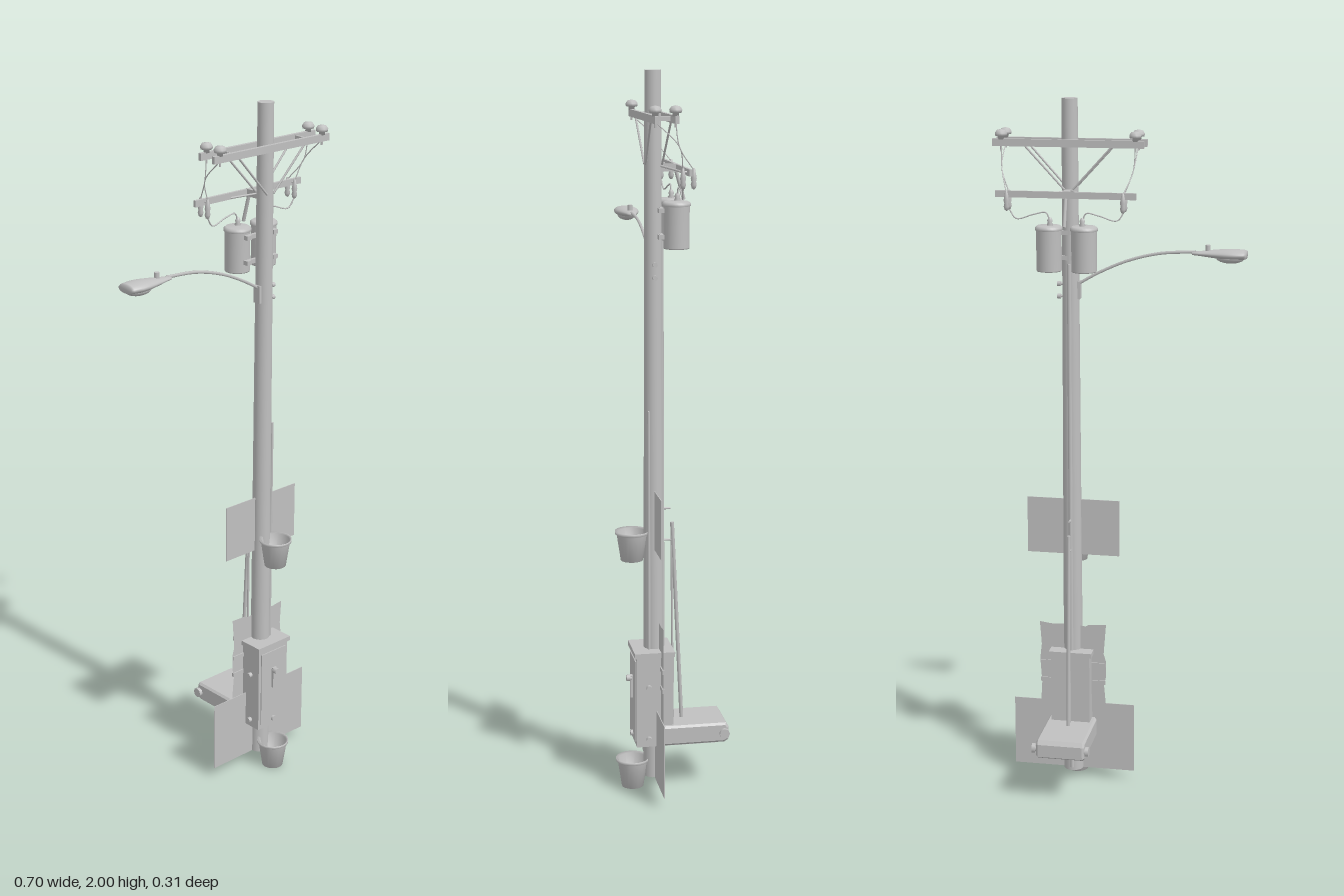
import * as THREE from 'three';

const grey = new THREE.MeshStandardMaterial({ color: 0xc0c0c0, side: THREE.DoubleSide });
grey.name = 'plain grey';

const PX = 0.14, PZ = 0.048; // pole axis
const V = (x, y, z) => new THREE.Vector3(x, y, z);

export function createModel() {
  const root = new THREE.Group();
  const add = (name, geo, x = 0, y = 0, z = 0) => {
    const m = new THREE.Mesh(geo, grey);
    m.name = name;
    m.position.set(x, y, z);
    root.add(m);
    return m;
  };
  // box given by its limits
  const box = (name, x0, x1, y0, y1, z0, z1) =>
    add(name, new THREE.BoxGeometry(x1 - x0, y1 - y0, z1 - z0), (x0 + x1) / 2, (y0 + y1) / 2, (z0 + z1) / 2);
  // straight round or square rod between two points
  const rod = (name, a, b, r, sides = 10) => {
    const m = add(name, new THREE.CylinderGeometry(r, r, a.distanceTo(b), sides));
    m.position.copy(a).add(b).multiplyScalar(0.5);
    m.quaternion.setFromUnitVectors(V(0, 1, 0), b.clone().sub(a).normalize());
    return m;
  };
  const tube = (name, pts, r, n = 24) =>
    add(name, new THREE.TubeGeometry(new THREE.CatmullRomCurve3(pts), n, r, 6));
  const lathe = (name, pts, x, y, z, n = 24) =>
    add(name, new THREE.LatheGeometry(pts.map(p => new THREE.Vector2(p[0], p[1])), n), x, y, z);

  // Pole and conduits
  add('pole', new THREE.CylinderGeometry(0.022, 0.029, 1.97, 24), PX, 1.015, PZ);
  rod('rearConduit', V(PX, 0.04, 0.021), V(PX, 1.55, 0.025), 0.006);
  rod('sideConduit', V(0.163, 0.3, 0.064), V(0.163, 1.09, 0.064), 0.004);

  // Double top crossarm with ties, braces and insulators
  for (const z of [0.021, 0.074]) {
    box('topCrossarm', -0.07, 0.35, 1.87, 1.89, z - 0.005, z + 0.005);
    for (const s of [-1, 1]) {
      rod('crossarmBrace', V(PX + s * 0.12, 1.872, z), V(PX + s * 0.012, 1.755, z > PZ ? 0.069 : 0.025), 0.003, 6);
      lathe('topInsulator', [[0, 0], [0.008, 0], [0.008, 0.008], [0.016, 0.01], [0.017, 0.017], [0.012, 0.025], [0, 0.028]],
        PX + s * 0.186, 1.888, z, 16);
      rod('crossarmBolt', V(PX + s * 0.186, 1.86, z), V(PX + s * 0.186, 1.89, z), 0.003, 6);
    }
  }
  for (const s of [-1, 1]) {
    box('crossarmTie', PX + s * 0.135 - 0.003, PX + s * 0.135 + 0.003, 1.874, 1.886, 0.021, 0.074);
  }

  // Lower crossarm behind the pole
  box('lowerCrossarm', -0.055, 0.335, 1.736, 1.754, -0.021, -0.013);
  box('lowerCrossarmBracket', 0.131, 0.149, 1.735, 1.755, -0.018, 0.03);
  for (const s of [-1, 1]) {
    rod('lowerBrace', V(PX + s * 0.07, 1.74, -0.013), V(PX + s * 0.01, 1.75, 0.028), 0.003, 6);
    const hx = PX + s * 0.161;
    for (const z of [-0.031, -0.003]) {
      lathe('hangingInsulator', [[0, 0], [0.005, 0.003], [0.008, 0.012], [0.006, 0.02], [0.008, 0.028], [0.006, 0.04], [0.003, 0.055], [0, 0.055]],
        hx, 1.7, z, 12);
      tube('dropWire', [V(PX + s * 0.186, 1.875, z < -0.02 ? 0.021 : 0.074), V(PX + s * 0.182, 1.81, 0.01), V(hx, 1.75, z)], 0.0015);
    }
    tube('transformerWire', [V(hx, 1.703, -0.003), V(PX + s * 0.14, 1.677, -0.006), V(PX + s * 0.09, 1.69, -0.01),
      V(PX + s * 0.055, 1.695, -0.01), V(PX + s * 0.045, 1.665, -0.01)], 0.002, 32);
    rod('insulatorPin', V(hx, 1.745, -0.034), V(hx, 1.745, 0), 0.003, 6);

    // Transformer cans
    const tx = PX + s * 0.049;
    lathe('transformer', [[0, 0], [0.034, 0], [0.035, 0.003], [0.035, 0.112], [0.038, 0.113], [0.038, 0.12], [0.032, 0.125], [0, 0.127]],
      tx, 1.535, -0.007, 28);
    lathe('transformerBushing', [[0.007, 0], [0.009, 0.006], [0.006, 0.01], [0.008, 0.016], [0.004, 0.024], [0, 0.026]],
      PX + s * 0.045, 1.658, -0.01, 12);
    for (const y of [1.56, 1.63]) box('transformerMount', tx - 0.008, tx + 0.008, y, y + 0.012, 0.02, 0.042);
  }
  box('transformerHanger', 0.09, 0.19, 1.56, 1.572, 0.025, 0.035);
  box('transformerHanger', 0.09, 0.19, 1.63, 1.642, 0.025, 0.035);
  rod('cutoutFuse', V(PX, 1.66, -0.036), V(PX, 1.735, -0.015), 0.005, 8);

  // Street lamp
  tube('lampArm', [V(0.13, 1.485, PZ), V(0.06, 1.525, PZ), V(-0.02, 1.56, PZ), V(-0.11, 1.583, PZ), V(-0.21, 1.59, PZ)], 0.0045, 32);
  const head = lathe('lampHead', [[0, 0.2], [0.011, 0.2], [0.015, 0.22], [0.025, 0.255], [0.033, 0.29], [0.035, 0.315], [0.031, 0.343], [0.026, 0.35], [0, 0.35]],
    0, 1.586, PZ);
  head.geometry.rotateZ(Math.PI / 2);
  head.scale.y = 0.42;
  const lens = add('lampLens', new THREE.SphereGeometry(1, 20, 12), -0.305, 1.577, PZ);
  lens.scale.set(0.04, 0.016, 0.026);
  add('photocell', new THREE.CylinderGeometry(0.007, 0.007, 0.016, 14), -0.243, 1.602, PZ);
  for (const y of [1.455, 1.49]) {
    rod('armBolt', V(0.15, y, PZ), V(0.175, y, PZ), 0.003, 8);
    rod('armBoltHead', V(0.168, y, PZ), V(0.178, y, PZ), 0.007, 8);
  }
  box('armClamp', 0.112, 0.12, 1.45, 1.5, 0.036, 0.06);

  // Flat sheets through the pole
  const sheet = (name, x0, x1, y0, y1, z) => box(name, x0, x1, y0, y1, z - 0.001, z + 0.001);
  sheet('upperSheet', 0.003, 0.272, 0.7, 0.866, PZ);
  sheet('lowerSheet', -0.042, 0.318, 0.03, 0.24, PZ);
  // Torn poster
  const edge = [[0.05, 0.215], [0.04, 0.235], [0.046, 0.3], [0.04, 0.33], [0.04, 0.375], [0.047, 0.4], [0.04, 0.49],
    [0.09, 0.488], [0.1, 0.482], [0.15, 0.488], [0.2, 0.485], [0.237, 0.49], [0.232, 0.42], [0.237, 0.375], [0.232, 0.3], [0.237, 0.215]];
  add('tornPoster', new THREE.ShapeGeometry(new THREE.Shape(edge.map(p => new THREE.Vector2(p[0], p[1])))), 0, 0, 0.036);
  for (const y of [0.31, 0.365]) {
    box('posterStrap', 0.042, 0.235, y - 0.006, y + 0.006, 0.033, 0.039);
  }

  // Meter cabinet around the pole
  box('cabinet', 0.083, 0.197, 0.135, 0.4, 0.0, 0.104);
  box('cabinetLid', 0.077, 0.203, 0.398, 0.412, -0.003, 0.11);
  box('cabinetDoor', 0.092, 0.188, 0.15, 0.385, 0.1, 0.107);
  box('cabinetHandle', 0.133, 0.147, 0.265, 0.33, 0.105, 0.114);
  rod('handleGrip', V(0.14, 0.322, 0.11), V(0.14, 0.322, 0.125), 0.009);
  rod('lowerLatch', V(0.14, 0.158, 0.104), V(0.14, 0.158, 0.114), 0.008);
  for (const s of [-1, 1]) for (const y of [0.158, 0.31]) {
    rod('cabinetKnob', V(PX + s * 0.055, y, 0.07), V(PX + s * 0.068, y, 0.07), 0.008);
  }

  // Rear shelf box with bevelled edges, and end knobs
  const prof = new THREE.Shape([[0.035, 0.145], [0.035, 0.19], [-0.145, 0.19], [-0.15, 0.182], [-0.15, 0.15], [-0.142, 0.145]]
    .map(p => new THREE.Vector2(p[0], p[1])));
  const shelf = new THREE.ExtrudeGeometry(prof, { depth: 0.13, bevelThickness: 0.006, bevelSize: 0.006, bevelSegments: 1 });
  shelf.rotateY(-Math.PI / 2);
  add('rearShelf', shelf, 0.205);
  box('shelfUnderPanel', 0.085, 0.195, 0.134, 0.14, -0.13, 0);
  for (const s of [-1, 1]) {
    rod('shelfPivot', V(PX + s * 0.07, 0.168, -0.142), V(PX + s * 0.08, 0.168, -0.142), 0.01);
    rod('shelfKnob', V(PX + s * 0.073, 0.168, -0.142), V(PX + s * 0.083, 0.168, -0.142), 0.0145, 8);
  }
  // Stay behind the pole holding the shelf
  rod('shelfStay', V(PX, 0.77, -0.005), V(PX, 0.19, -0.033), 0.0055, 8);
  rod('stayRod', V(PX, 0.77, -0.003), V(PX, 0.19, -0.008), 0.003, 8);
  rod('stayHook', V(PX, 0.81, 0.0), V(PX, 0.81, 0.03), 0.003, 8);
  rod('stayHook', V(PX, 0.72, -0.004), V(PX, 0.72, 0.03), 0.003, 8);

  // Open buckets on the front
  for (const y of [0, 0.667]) {
    lathe('bucket', [[0, 0.006], [0.029, 0.006], [0.041, 0.08], [0.047, 0.084], [0.047, 0.076], [0.042, 0.073], [0.031, 0], [0, 0]],
      PX, y, 0.108, 20);
  }
  return root;
}
